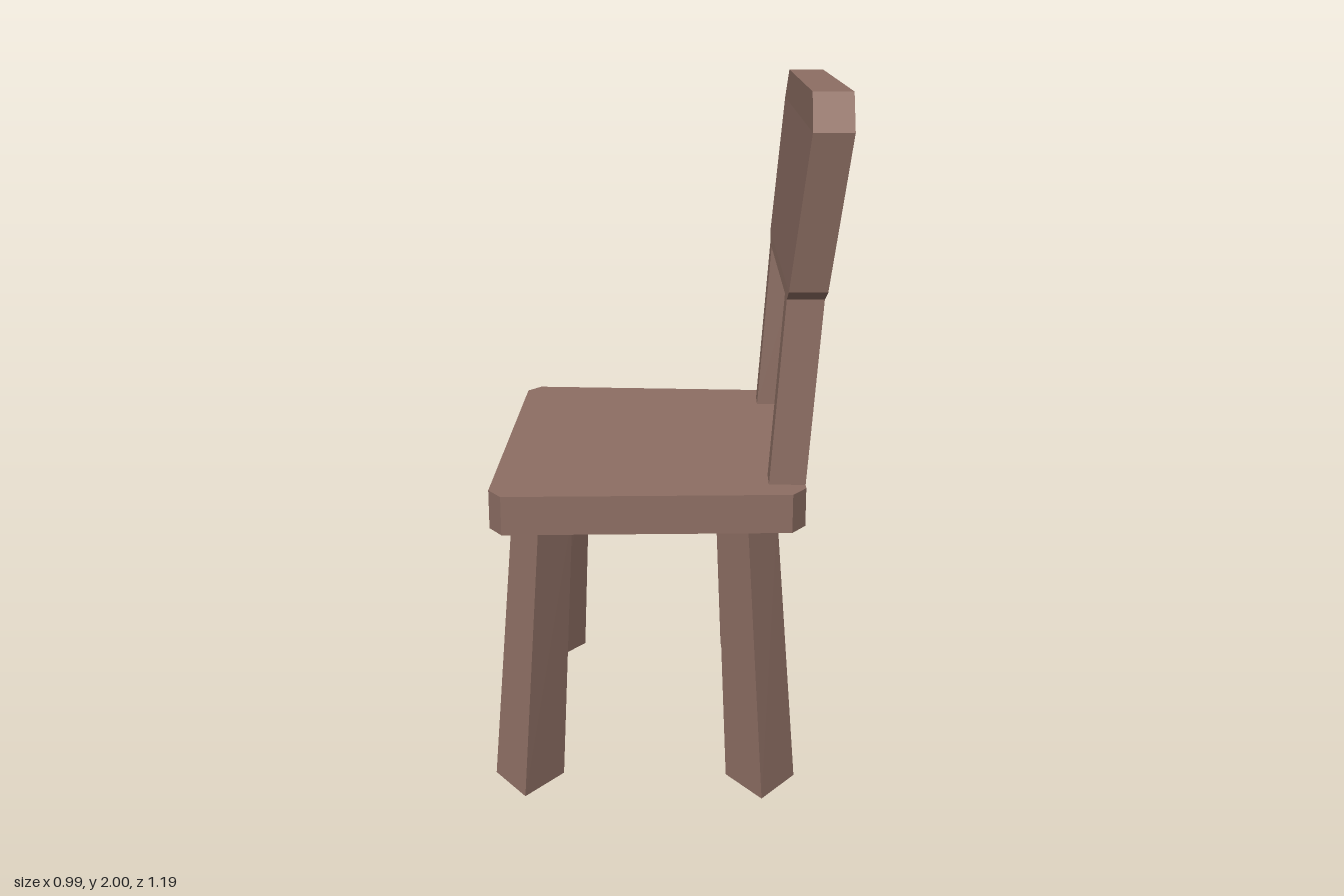
import * as THREE from 'three';

const wood = new THREE.MeshStandardMaterial({ color: 0x8d6e63, flatShading: true });

// Skins convex [x, z] rings (counter-clockwise from above), stacked from low to high, with end caps.
function loft(name, sections) {
  const pos = [];
  const rings = sections.map(({ y, ring }) => ring.map(([x, z]) => [x, y, z]));
  const tri = (a, b, c) => pos.push(...a, ...b, ...c);
  const n = rings[0].length;
  for (let k = 0; k < rings.length - 1; k++) {
    const a = rings[k], b = rings[k + 1];
    for (let i = 0; i < n; i++) {
      const j = (i + 1) % n;
      tri(a[i], a[j], b[j]);
      tri(a[i], b[j], b[i]);
    }
  }
  const low = rings[0], high = rings[rings.length - 1];
  for (let i = 1; i < n - 1; i++) {
    tri(low[0], low[i + 1], low[i]);
    tri(high[0], high[i], high[i + 1]);
  }
  const geometry = new THREE.BufferGeometry();
  geometry.setAttribute('position', new THREE.Float32BufferAttribute(pos, 3));
  geometry.computeVertexNormals();
  const mesh = new THREE.Mesh(geometry, wood);
  mesh.name = name;
  return mesh;
}

const rect = (x0, x1, z0, z1) => [[x1, z1], [x1, z0], [x0, z0], [x0, z1]];
const diamond = (x, z, rx, rz) => [[x + rx, z], [x, z - rz], [x - rx, z], [x, z + rz]];

export function createModel() {
  const chair = new THREE.Group();
  chair.name = 'chair';

  // Seat board with clipped corners, tapering towards the back
  const outline = [
    [0.4, 0.48], [0.4, -0.48], [0.36, -0.543], [-0.445, -0.575],
    [-0.485, -0.525], [-0.485, 0.515], [-0.445, 0.57], [0.36, 0.537],
  ];
  chair.add(loft('seat', [{ y: 0.803, ring: outline }, { y: 0.915, ring: outline }]));

  for (const side of [1, -1]) {
    const label = side > 0 ? 'Left' : 'Right';

    // Splayed, tapered legs set cornerwise
    for (const [name, footX, topX] of [['frontLeg', -0.398, -0.35], ['backLeg', 0.287, 0.239]]) {
      chair.add(loft(name + label, [
        { y: 0, ring: diamond(footX, side * 0.45, 0.101, 0.135) },
        { y: 0.803, ring: diamond(topX, side * 0.39, 0.087, 0.113) },
      ]));
    }

    // Leaning posts under the backrest
    const z = side * 0.41;
    chair.add(loft('backPost' + label, [
      { y: 0.915, ring: rect(0.297, 0.4, z - 0.042, z + 0.042) },
      { y: 1.445, ring: rect(0.335, 0.438, z - 0.042, z + 0.042) },
    ]));
  }

  // Backrest: y, front x, back x, half width
  const backrest = [
    [1.445, 0.335, 0.438, 0.452],
    [1.475, 0.337, 0.442, 0.502],
    [1.905, 0.382, 0.49, 0.595],
    [2.0, 0.387, 0.495, 0.486],
  ];
  chair.add(loft('backrest', backrest.map(([y, x0, x1, w]) => ({ y, ring: rect(x0, x1, -w, w) }))));

  return chair;
}
